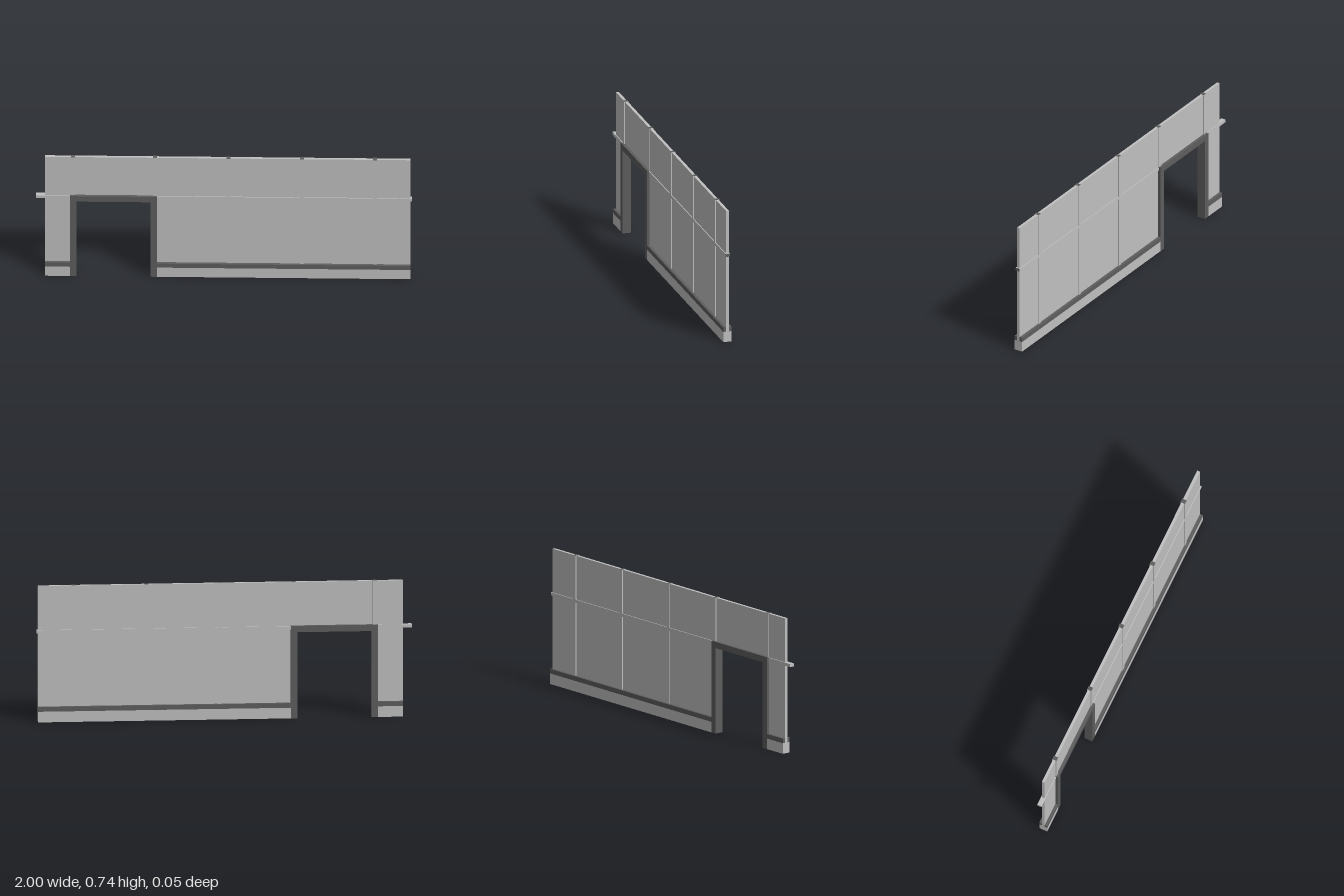
import * as THREE from 'three';

const light = new THREE.MeshStandardMaterial({ color: 0xc0c0c0 });
light.name = 'lightGrey';
const dark = new THREE.MeshStandardMaterial({ color: 0x5e5e5e });
dark.name = 'darkGrey';

// Wall extents, and the doorway frame edges
const LEFT = -0.952, RIGHT = 0.992, TOP = 0.74;
const DOOR = { x0: -0.818, x1: -0.355, top: 0.503, jamb: 0.034 };

export function createModel() {
  const model = new THREE.Group();
  model.name = 'wallSection';

  function add(name, geometry, material) {
    const mesh = new THREE.Mesh(geometry, material);
    mesh.name = name;
    model.add(mesh);
    return mesh;
  }

  // Box given by its lower and upper corner
  function box(name, [x0, y0, z0], [x1, y1, z1], material) {
    const mesh = add(name, new THREE.BoxGeometry(x1 - x0, y1 - y0, z1 - z0), material);
    mesh.position.set((x0 + x1) / 2, (y0 + y1) / 2, (z0 + z1) / 2);
    return mesh;
  }

  // Flat outline extruded symmetrically about z = 0
  function slab(name, points, halfDepth, material) {
    const shape = new THREE.Shape(points.map(([x, y]) => new THREE.Vector2(x, y)));
    const geometry = new THREE.ExtrudeGeometry(shape, { depth: halfDepth * 2, bevelEnabled: false });
    geometry.translate(0, 0, -halfDepth);
    add(name, geometry, material);
  }

  // Thin wall board, notched for the doorway
  const { x0, x1, top, jamb } = DOOR;
  const mid = jamb / 2;
  slab('wallPanel', [
    [LEFT, 0.02], [x0 + mid, 0.02], [x0 + mid, top - mid], [x1 - mid, top - mid],
    [x1 - mid, 0.02], [RIGHT, 0.02], [RIGHT, TOP], [LEFT, TOP],
  ], 0.008, light);

  // U-shaped door frame
  slab('doorFrame', [
    [x0, 0], [x0 + jamb, 0], [x0 + jamb, top - jamb], [x1 - jamb, top - jamb],
    [x1 - jamb, 0], [x1, 0], [x1, top], [x0, top],
  ], 0.0235, dark);

  // Skirting on both sides of the doorway, with a dark trim on each face
  for (const [a, b] of [[LEFT, x0], [x1, RIGHT]]) {
    box('skirting', [a, 0, -0.0235], [b, 0.058, 0.0235], light);
    box('frontSkirtingTrim', [a, 0.058, 0.008], [b, 0.083, 0.0235], dark);
    box('backSkirtingTrim', [a, 0.058, -0.0235], [b, 0.083, -0.008], dark);
  }

  // Upright battens with dark top ends; those by the door stand on its frame
  const topCapped = [light, light, dark, light, light, light];
  for (const x of [-0.803, -0.367, 0.024, 0.414, 0.803]) {
    const bottom = x < 0 ? top - 0.01 : 0.07;
    box('upright', [x - 0.011, bottom, -0.0128], [x + 0.011, TOP + 0.001, 0.0128], topCapped);
  }

  // Horizontal rail through the whole wall, with a dark end
  const endCapped = [dark, light, light, light, light, light];
  box('rail', [-1, 0.483, -0.0128], [1, 0.5, 0.0128], endCapped);

  return model;
}
